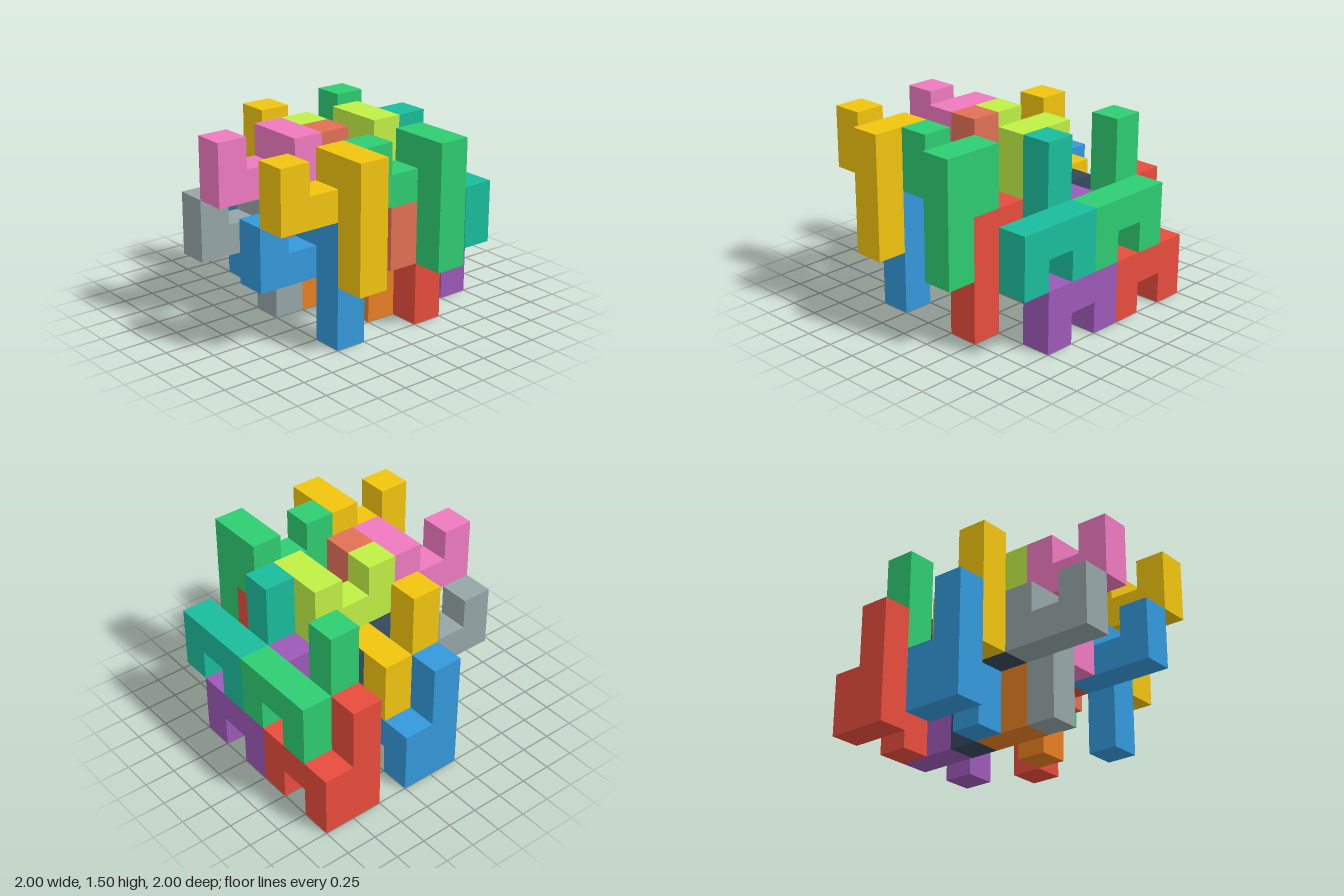
import * as THREE from 'three';
import { mergeGeometries } from 'three/addons/utils/BufferGeometryUtils.js';

const CELL = 0.25;

// One block in cell units: a post four cells tall with a U-shaped arm beside its upper half
function blockGeometry() {
  const post = new THREE.BoxGeometry(1, 4, 1).toNonIndexed();
  post.translate(0.5, 0, 0.5);

  const outline = [[0, 0], [3, 0], [3, 2], [2, 2], [2, 1], [1, 1], [1, 2], [0, 2]];
  const shape = new THREE.Shape(outline.map(([u, v]) => new THREE.Vector2(u, v)));
  const arm = new THREE.ExtrudeGeometry(shape, { depth: 1, bevelEnabled: false });
  arm.rotateY(-Math.PI / 2);

  return mergeGeometries([post, arm]).scale(CELL, CELL, CELL);
}

const COLORS = {
  blue: 0x3498db, grey: 0x95a5a6, pink: 0xee7abf, yellow: 0xf1c40f,
  navy: 0x34495e, red: 0xe74c3c, lime: 0xbfef45, green: 0x2ecc71,
  orange: 0xe67e22, salmon: 0xe17055, purple: 0x9b59b6, teal: 0x1abc9c,
};

// Each row repeats one lattice of four posts at x, y; z is the row's post cell
const LATTICE = { upright: [[3, 0], [6, 0], [4, 2], [7, 2]], flipped: [[0, 0], [3, 0], [1, 2], [4, 2]] };
const ROWS = [
  { name: 'front', z: 5, pose: 'upright', colors: ['grey', 'blue', 'pink', 'yellow'] },
  { name: 'midFront', z: 4, pose: 'flipped', colors: ['blue', 'orange', 'yellow', 'salmon'] },
  { name: 'midBack', z: 2, pose: 'upright', colors: ['navy', 'red', 'lime', 'green'] },
  { name: 'back', z: 1, pose: 'flipped', colors: ['red', 'purple', 'green', 'teal'] },
];

export function createModel() {
  const model = new THREE.Group();
  model.name = 'interlockingBlocks';

  const upright = blockGeometry();
  // Half turn about the x-z diagonal: arm points along x and opens downward
  const halfTurn = new THREE.Quaternion().setFromAxisAngle(new THREE.Vector3(1, 0, 1).normalize(), Math.PI);
  const geometries = { upright, flipped: upright.clone().applyQuaternion(halfTurn) };

  const materials = {};
  for (const [name, color] of Object.entries(COLORS)) {
    materials[name] = new THREE.MeshStandardMaterial({ color });
  }

  for (const { name, z, pose, colors } of ROWS) {
    const row = new THREE.Group();
    row.name = `${name}Row`;
    LATTICE[pose].forEach(([x, y], i) => {
      const block = new THREE.Mesh(geometries[pose], materials[colors[i]]);
      block.name = `${name}Block${i + 1}`;
      block.position.set(x * CELL - 1, (y + 2) * CELL, z * CELL - 1);
      row.add(block);
    });
    model.add(row);
  }
  return model;
}
